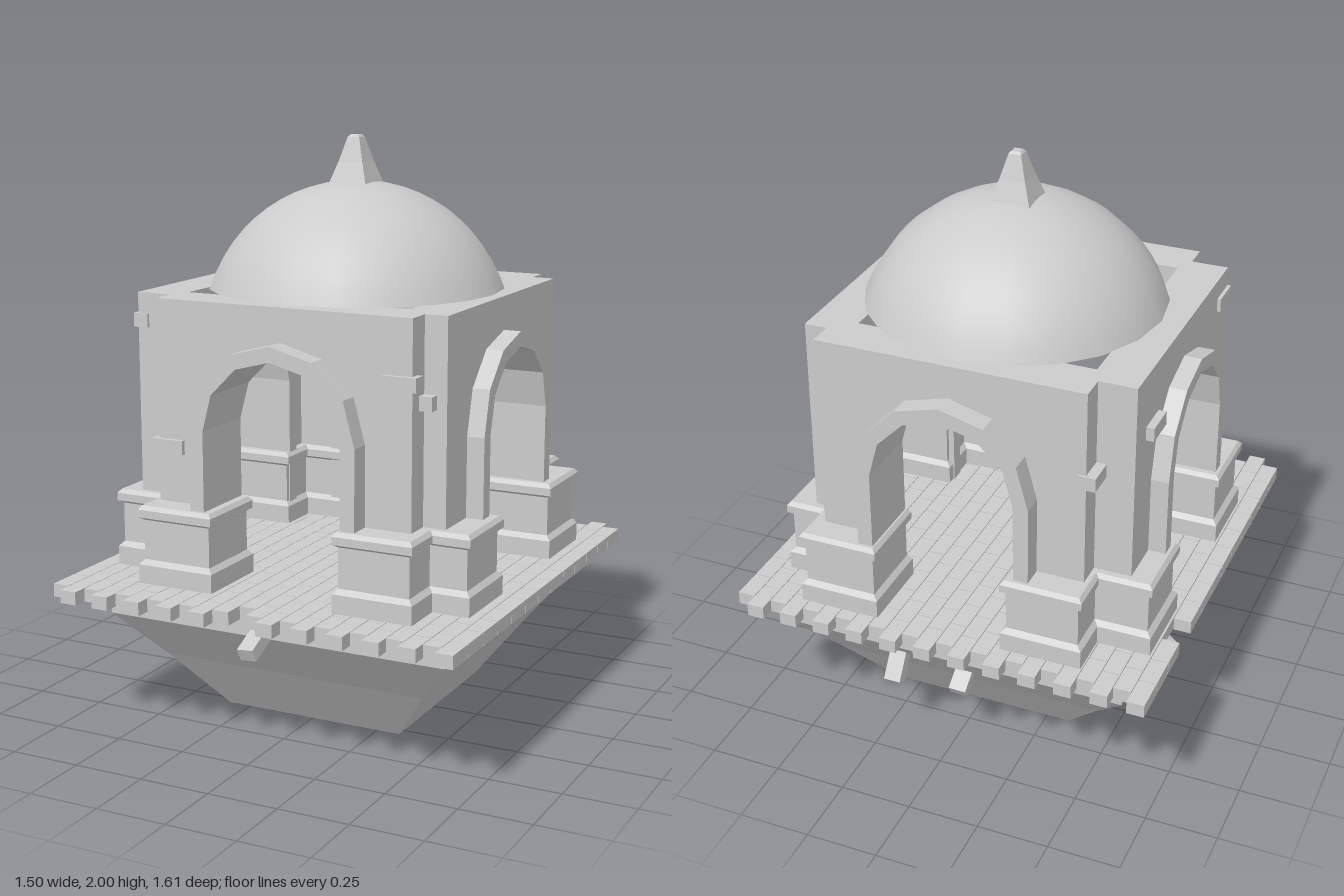
import * as THREE from 'three';

const CZ = -0.05; // tower centre in z
const FLOOR = 0.515, ROOF = 1.48, SPRING = 1.06;

export function createModel() {
  const root = new THREE.Group();
  const flat = new THREE.MeshStandardMaterial({ color: 0xcccccc, flatShading: true });
  const smooth = new THREE.MeshStandardMaterial({ color: 0xcccccc, side: THREE.DoubleSide });

  const add = (name, geo, x = 0, y = 0, z = 0, parent = root, mat = flat) => {
    const m = new THREE.Mesh(geo, mat);
    m.name = name;
    m.position.set(x, y, z);
    parent.add(m);
    return m;
  };

  // square solid from a profile of [half width, y]
  const squareTurned = (profile) => new THREE.LatheGeometry(
    profile.map(([r, y]) => new THREE.Vector2(r * Math.SQRT2, y)), 4, Math.PI / 4);

  // arch outline from right foot over the crown to left foot
  const archPoints = (r) => {
    const pts = [new THREE.Vector2(r, FLOOR)];
    for (let i = 0; i <= 6; i++) {
      const a = (i / 6) * Math.PI;
      pts.push(new THREE.Vector2(r * Math.cos(a), SPRING + r * Math.sin(a)));
    }
    pts.push(new THREE.Vector2(-r, FLOOR));
    return pts;
  };
  const extrude = (pts, depth) => new THREE.ExtrudeGeometry(new THREE.Shape(pts), { depth, bevelEnabled: false });

  // foundation
  add('foundation', squareTurned([[0, 0], [0.333, 0], [0.49, 0.21], [0.628, 0.38], [0.628, 0.47], [0, 0.47]]), 0, 0, -0.045);

  // staggered brick floor with two bricks fallen out
  const floor = new THREE.Group();
  floor.name = 'brickFloor';
  root.add(floor);
  const brick = new THREE.BoxGeometry(0.06, 0.046, 0.117);
  for (let i = 0; i < 24; i++) {
    for (let k = 0; k < 13; k++) {
      if ((i === 0 && k === 3) || (i === 11 && k === 12)) continue;
      const z = (i % 2 ? -0.76 : -0.81) + (k + 0.5) * 0.12;
      add('floorBrick', brick, -0.75 + (i + 0.5) * 0.0625, 0.492, z, floor);
    }
  }

  // bricks falling from the edges: x, y, z, tilt x, tilt z
  const fallen = [
    [-0.67, 0.42, -0.39, 0, 0.7],
    [-0.035, 0.375, 0.63, 0.42, 0.1],
    [0.2, 0.29, -0.65, -0.98, 0],
    [-0.03, 0.275, -0.61, -0.6, 0.1],
  ];
  for (const [x, y, z, rx, rz] of fallen) {
    add('fallenBrick', brick, x, y, z).rotation.set(rx, 0, rz);
  }

  // four arched walls, each with a projecting arch band
  const wallPts = [
    new THREE.Vector2(0.3, FLOOR), new THREE.Vector2(0.47, FLOOR), new THREE.Vector2(0.47, ROOF),
    new THREE.Vector2(-0.47, ROOF), new THREE.Vector2(-0.47, FLOOR), ...archPoints(0.305).reverse().slice(0, -1),
  ];
  const bandPts = [...archPoints(0.305), ...archPoints(0.253).reverse()];
  for (let k = 0; k < 4; k++) {
    const onSide = k % 2 === 1;
    const side = new THREE.Group();
    side.name = 'archedSide';
    side.position.set(onSide ? -0.02 : 0.005, 0, CZ);
    side.rotation.y = k * Math.PI / 2;
    root.add(side);
    const outer = onSide ? 0.575 : 0.56;
    add('wall', extrude(wallPts, 0.16), 0, 0, outer - 0.16, side);
    add('archBand', extrude(bandPts, 0.25), 0, 0, 0.386, side);
  }

  // moulded pedestals, a pair at each corner
  const pedestal = squareTurned([
    [0, FLOOR], [0.142, FLOOR], [0.142, 0.58], [0.126, 0.597], [0.126, 0.735],
    [0.134, 0.741], [0.142, 0.745], [0.142, 0.772], [0.13, 0.786], [0, 0.786],
  ]);
  for (const sx of [-1, 1]) {
    for (const sz of [-1, 1]) {
      add('pedestal', pedestal, 0.015 + sx * 0.367, 0, CZ + sz * 0.518);
      add('pedestal', pedestal, -0.012 + sx * 0.525, 0, CZ + sz * 0.362);
    }
  }

  // single bricks standing proud of the walls: x, y, z, width, depth
  const proud = [
    [0.435, 1.27, 0.5, 0.12, 0.055],
    [0.49, 1.2, 0.44, 0.06, 0.04],
    [-0.425, 0.98, 0.5, 0.12, 0.055],
    [-0.58, 1.385, 0.37, 0.055, 0.12],
    [-0.595, 1.27, -0.365, 0.055, 0.12],
    [-0.47, 1.165, -0.565, 0.06, 0.11],
  ];
  for (const [x, y, z, w, d] of proud) add('proudBrick', new THREE.BoxGeometry(w, 0.048, d), x, y, z);

  // dome, a spherical cap
  const R = 0.545, base = 1.3, capAngle = Math.asin(0.515 / R);
  const cap = [];
  for (let i = 0; i <= 12; i++) {
    const a = capAngle * (1 - i / 12);
    cap.push(new THREE.Vector2(R * Math.sin(a), base + R * Math.cos(a)));
  }
  add('dome', new THREE.LatheGeometry(cap, 20), 0, 0, -0.055, root, smooth);

  // finial
  add('finial', squareTurned([[0.07, 1.835], [0.045, 1.91], [0.022, 1.992], [0.015, 2], [0, 2]]), -0.005, 0, -0.06);

  return root;
}
